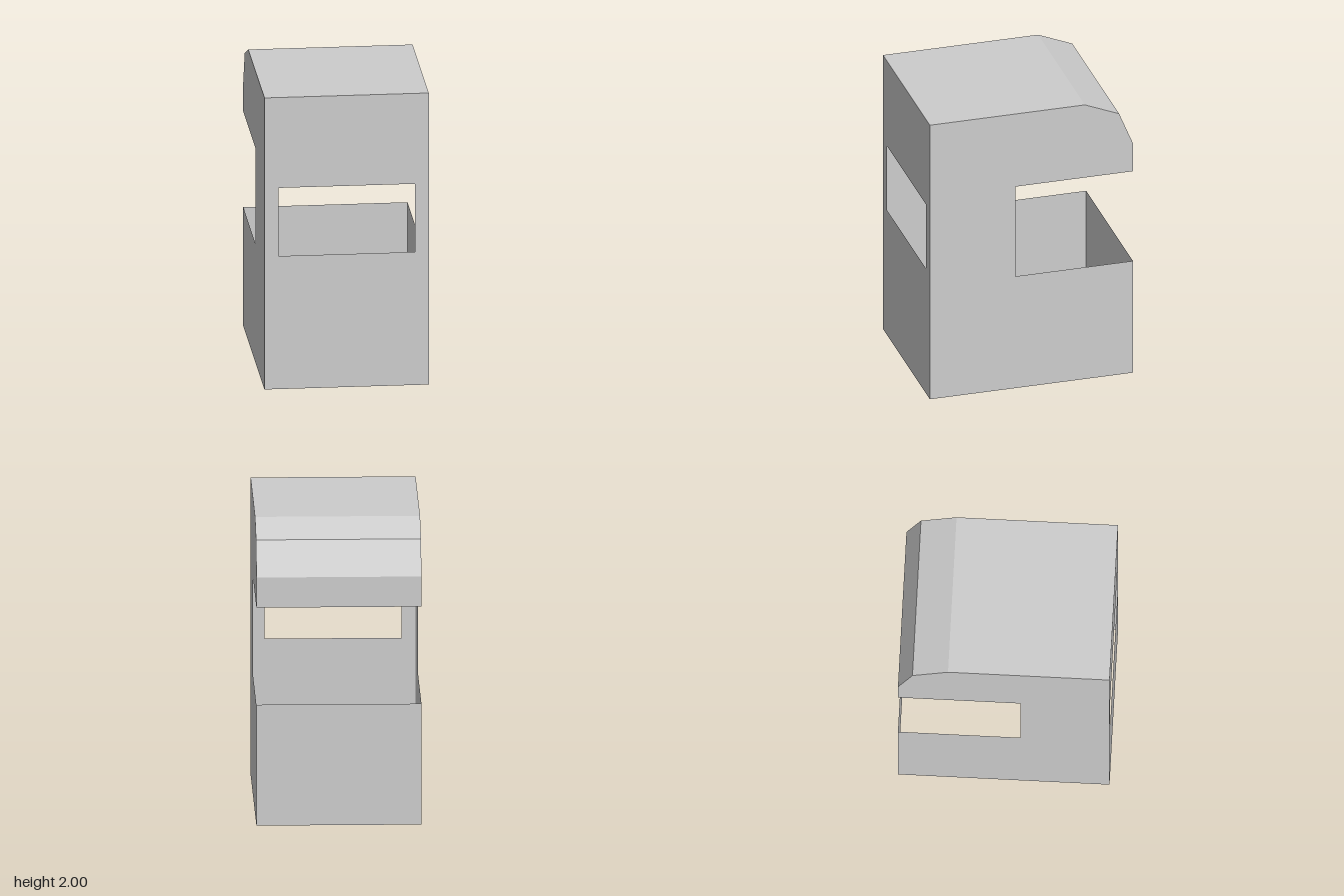
import * as THREE from 'three';

const W = 0.54; // half width
const D = 0.693; // half depth

export function createModel() {
  const model = new THREE.Group();
  model.name = 'notchedShell';
  const grey = new THREE.MeshStandardMaterial({ color: 0xcccccc, side: THREE.DoubleSide });
  grey.name = 'light grey';

  const add = (name, geometry) => {
    const mesh = new THREE.Mesh(geometry, grey);
    mesh.name = name;
    model.add(mesh);
    return mesh;
  };

  // Side outline as [z, y]: roof with a bevelled back, then the notch
  const outline = [
    [D, 0], [D, 2], [-0.365, 2], [-0.598, 1.903], [-D, 1.673], [-D, 1.47],
    [0.11, 1.47], [0.11, 0.815], [-D, 0.815], [-D, 0],
  ];

  // Two thin side walls
  for (const s of [1, -1]) {
    const shape = new THREE.Shape(outline.map(([z, y]) => new THREE.Vector2(-z * s, y)));
    const wall = add(s > 0 ? 'leftWall' : 'rightWall', new THREE.ShapeGeometry(shape));
    wall.rotation.y = s * Math.PI / 2;
    wall.position.x = s * W;
  }

  // Front wall with its window opening
  const rect = (Type, x, y0, y1) => new Type([[-x, y0], [x, y0], [x, y1], [-x, y1]]
    .map(([px, py]) => new THREE.Vector2(px, py)));
  const front = rect(THREE.Shape, W, 0, 2);
  front.holes.push(rect(THREE.Path, 0.448, 0.912, 1.38));
  add('frontWall', new THREE.ShapeGeometry(front)).position.z = D;

  // Full-width panels along the outline; the notch and the base stay open
  const panels = { roof: 1, upperBevel: 2, lowerBevel: 3, upperBackWall: 4, lowerBackWall: 8 };
  for (const [name, i] of Object.entries(panels)) {
    const [z0, y0] = outline[i];
    const [z1, y1] = outline[i + 1];
    const panel = add(name, new THREE.PlaneGeometry(2 * W, Math.hypot(z1 - z0, y1 - y0)));
    panel.rotation.x = Math.atan2(z1 - z0, y1 - y0);
    panel.position.set(0, (y0 + y1) / 2, (z0 + z1) / 2);
  }

  return model;
}
